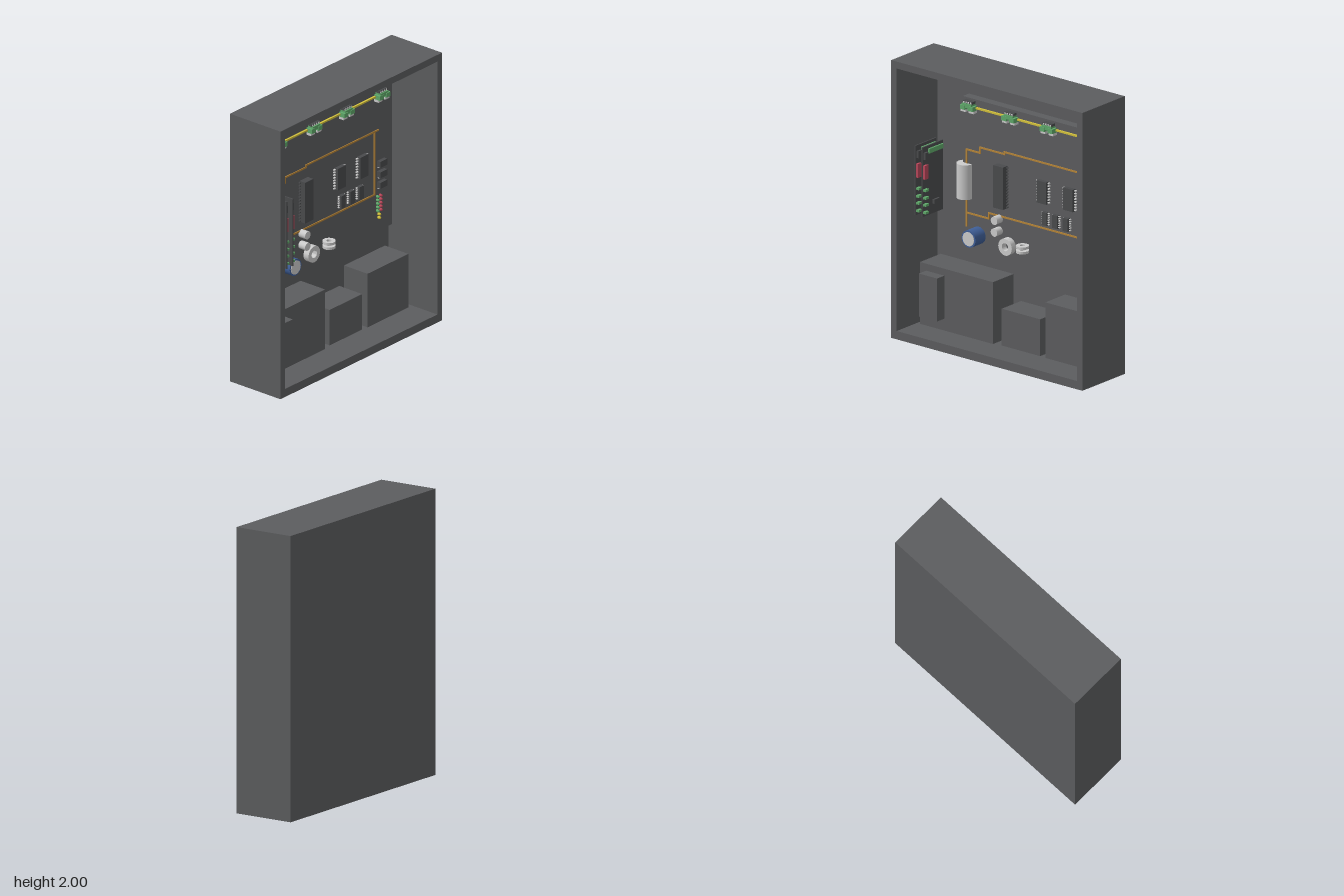
import * as THREE from 'three';
import { toCreasedNormals } from 'three/addons/utils/BufferGeometryUtils.js';

const mat = (color) => new THREE.MeshStandardMaterial({ color });
const M = {
  body: mat(0x5c5d5f), chip: mat(0x4a4b4d), light: mat(0xcccccc), green: mat(0x5fa86a), red: mat(0xb8475a),
  yellow: mat(0xd2c03c), copper: mat(0xb58438), blue: mat(0x3f5f98),
};
const BOARD = -0.145; // front face of the main board
const BACK = -0.21; // inside face of the back panel

function add(parent, name, geometry, material, x = 0, y = 0, z = 0) {
  const mesh = new THREE.Mesh(geometry, material);
  mesh.name = name;
  mesh.position.set(x, y, z);
  parent.add(mesh);
  return mesh;
}

// Box given by its limits on each axis
function box(parent, name, m, x0, x1, y0, y1, z0, z1) {
  return add(parent, name, new THREE.BoxGeometry(x1 - x0, y1 - y0, z1 - z0), m,
    (x0 + x1) / 2, (y0 + y1) / 2, (z0 + z1) / 2);
}

// Cylinder standing out of the board
function stud(parent, name, m, x, y, r, z0, z1) {
  const g = new THREE.CylinderGeometry(r, r, z1 - z0, 32).rotateX(Math.PI / 2);
  return add(parent, name, g, m, x, y, (z0 + z1) / 2);
}

// Square-section ring around y
function ringGeometry(inner, outer, h) {
  const p = [[inner, -h / 2], [outer, -h / 2], [outer, h / 2], [inner, h / 2], [inner, -h / 2]];
  return toCreasedNormals(new THREE.LatheGeometry(p.map(([x, y]) => new THREE.Vector2(x, y)), 36), 0.6);
}

function group(parent, name) {
  const g = new THREE.Group();
  g.name = name;
  parent.add(g);
  return g;
}

// Chip with a row of legs down both sides
function chip(parent, name, cx, cy, w, h, top, pins, legMat, reach) {
  const g = group(parent, name);
  box(g, 'chipBody', M.chip, cx - w / 2, cx + w / 2, cy - h / 2, cy + h / 2, BOARD, top);
  const pitch = h / pins;
  for (const s of [-1, 1]) {
    for (let i = 0; i < pins; i++) {
      const y = cy - h / 2 + (i + 0.5) * pitch;
      const x = cx + s * (w / 2 + reach / 2);
      box(g, 'chipLeg', legMat, x - reach / 2, x + reach / 2,
        y - pitch * 0.2, y + pitch * 0.2, BOARD, BOARD + 0.014);
    }
  }
}

// Copper track made of straight runs
function track(parent, points) {
  const t = 0.006;
  for (let i = 1; i < points.length; i++) {
    const [ax, ay] = points[i - 1], [bx, by] = points[i];
    box(parent, 'copperTrack', M.copper, Math.min(ax, bx) - t, Math.max(ax, bx) + t,
      Math.min(ay, by) - t, Math.max(ay, by) + t, BOARD, BOARD + 0.006);
  }
}

function buildCase(root) {
  const g = group(root, 'case');
  const s = new THREE.Shape();
  s.moveTo(-0.845, 0).lineTo(0.845, 0).lineTo(0.845, 2).lineTo(-0.845, 2).closePath();
  const hole = new THREE.Path();
  hole.moveTo(-0.797, 0.06).lineTo(-0.797, 1.95).lineTo(0.797, 1.95).lineTo(0.797, 0.06).closePath();
  s.holes.push(hole);
  add(g, 'caseWalls', new THREE.ExtrudeGeometry(s, { depth: 0.225 - BACK, bevelEnabled: false }), M.body, 0, 0, BACK);
  box(g, 'backPanel', M.body, -0.845, 0.845, 0, 2, -0.225, BACK);
  box(g, 'upperDuct', M.body, -0.79, 0.785, 1.8, 1.9, BACK, -0.14);
  // Housings along the floor
  box(g, 'largeHousing', M.body, -0.77, -0.125, 0.06, 0.505, BACK, 0.01);
  box(g, 'housingCover', M.body, -0.715, -0.555, 0.145, 0.455, 0.01, 0.087);
  box(g, 'smallHousing', M.body, -0.06, 0.28, 0.06, 0.325, BACK, -0.005);
  box(g, 'mediumHousing', M.body, 0.33, 0.757, 0.06, 0.46, BACK, 0);
}

// Clips joined by a rail along the top of the board
function buildClips(root) {
  box(root, 'clipRail', M.yellow, -0.47, 0.64, 1.652, 1.664, BOARD, -0.13);
  for (const x of [-0.45, -0.085, 0.255, 0.625]) {
    const g = group(root, 'railClip');
    g.position.x = x;
    box(g, 'clipBody', M.green, -0.04, 0.04, 1.655, 1.685, BOARD, -0.1);
    box(g, 'clipTop', M.chip, -0.04, 0.04, 1.685, 1.702, BOARD, -0.11);
    for (let i = 0; i < 4; i++) {
      const px = -0.03 + i * 0.02;
      box(g, 'clipContact', M.light, px - 0.005, px + 0.005, 1.688, 1.698, -0.11, -0.106);
    }
    for (const s of [-1, 1]) {
      const cx = s * 0.035;
      box(g, 'clipFoot', M.green, cx - 0.021, cx + 0.021, 1.64, 1.672, BOARD, -0.095);
      box(g, 'clipFootPad', M.light, cx - 0.021, cx + 0.021, 1.622, 1.64, BOARD, -0.105);
    }
  }
}

// Upright cards beside the main board
function buildCards(root) {
  for (const x of [-0.692, -0.63]) {
    const g = group(root, 'sideCard');
    g.position.x = x;
    box(g, 'cardPlate', M.chip, -0.005, 0.005, 0.9, 1.4, -0.06, 0.155);
    box(g, 'cardRedBlock', M.red, 0.005, 0.022, 1.17, 1.27, 0.115, 0.15);
    box(g, 'cardConnector', M.green, 0.005, 0.018, 1.345, 1.378, -0.05, 0.1);
    box(g, 'cardDarkBlock', M.chip, 0.005, 0.02, 1.31, 1.36, 0.11, 0.145);
    box(g, 'cardChip', M.chip, 0.005, 0.02, 0.97, 1.0, -0.01, 0.05);
    for (const y of [0.93, 0.985, 1.035, 1.09]) {
      box(g, 'cardTerminal', M.green, 0.005, 0.028, y - 0.008, y + 0.008, 0.115, 0.15);
    }
  }
}

function buildBoard(root) {
  const g = group(root, 'mainBoard');
  box(g, 'boardPlate', M.body, -0.52, 0.757, 0.64, 1.715, BACK, BOARD);
  track(g, [[0.605, 1.395], [-0.148, 1.395], [-0.148, 1.38], [-0.366, 1.38], [-0.366, 1.34], [-0.484, 1.34], [-0.484, 0.79]]);
  track(g, [[0.57, 1.395], [0.57, 0.925], [-0.288, 0.925], [-0.288, 0.885], [-0.484, 0.885]]);
  buildClips(g);

  // Chips
  chip(g, 'longChip', -0.168, 1.148, 0.085, 0.305, -0.095, 14, M.chip, 0.01);
  for (const x of [0.197, 0.433]) chip(g, 'mediumChip', x, 1.19, 0.085, 0.16, -0.115, 8, M.light, 0.016);
  for (const x of [0.218, 0.313, 0.407]) chip(g, 'smallChip', x, 1.003, 0.044, 0.095, -0.118, 6, M.light, 0.012);
  for (const y of [1.145, 1.067, 0.988]) {
    box(g, 'regulator', M.chip, 0.6, 0.672, y - 0.022, y + 0.022, BOARD, -0.115);
    for (const x of [0.61, 0.636, 0.662]) {
      box(g, 'regulatorLeg', M.light, x - 0.007, x + 0.007, y - 0.03, y - 0.022, BOARD, -0.13);
    }
  }

  // Capacitors
  add(g, 'largeCapacitor', new THREE.CylinderGeometry(0.06, 0.06, 0.25, 40), M.light, -0.5, 1.115, BOARD);
  stud(g, 'blueCapacitor', M.blue, -0.38, 0.745, 0.061, BOARD, -0.037);
  stud(g, 'blueCapacitorTop', M.light, -0.38, 0.745, 0.05, BOARD, -0.033);
  for (const y of [0.905, 0.82]) stud(g, 'smallCapacitor', M.light, -0.195, y, 0.029, BOARD, -0.085);

  // Ring coils
  add(g, 'ringCoil', ringGeometry(0.028, 0.06, 0.045).rotateX(Math.PI / 2), M.light, -0.11, 0.73, BOARD + 0.0225);
  for (const y of [0.77, 0.737]) {
    add(g, 'edgeCoil', ringGeometry(0.018, 0.045, 0.018), M.light, 0.045, y, BOARD + 0.045);
  }

  // Indicator lamps
  const lamp = (m, x, y) => {
    stud(g, 'indicatorLamp', m, x, y, 0.01, BOARD, BOARD + 0.015);
    add(g, 'lampDome', new THREE.SphereGeometry(0.01, 16, 8), m, x, y, BOARD + 0.015);
  };
  for (let i = 0; i < 5; i++) {
    lamp(M.green, 0.597, 0.903 - i * 0.0265);
    lamp(M.red, 0.627, 0.903 - i * 0.0265);
  }
  for (const y of [0.768, 0.742]) lamp(M.yellow, 0.611, y);
}

export function createModel() {
  const root = new THREE.Group();
  root.name = 'controlCabinet';
  buildCase(root);
  buildBoard(root);
  buildCards(root);
  return root;
}
